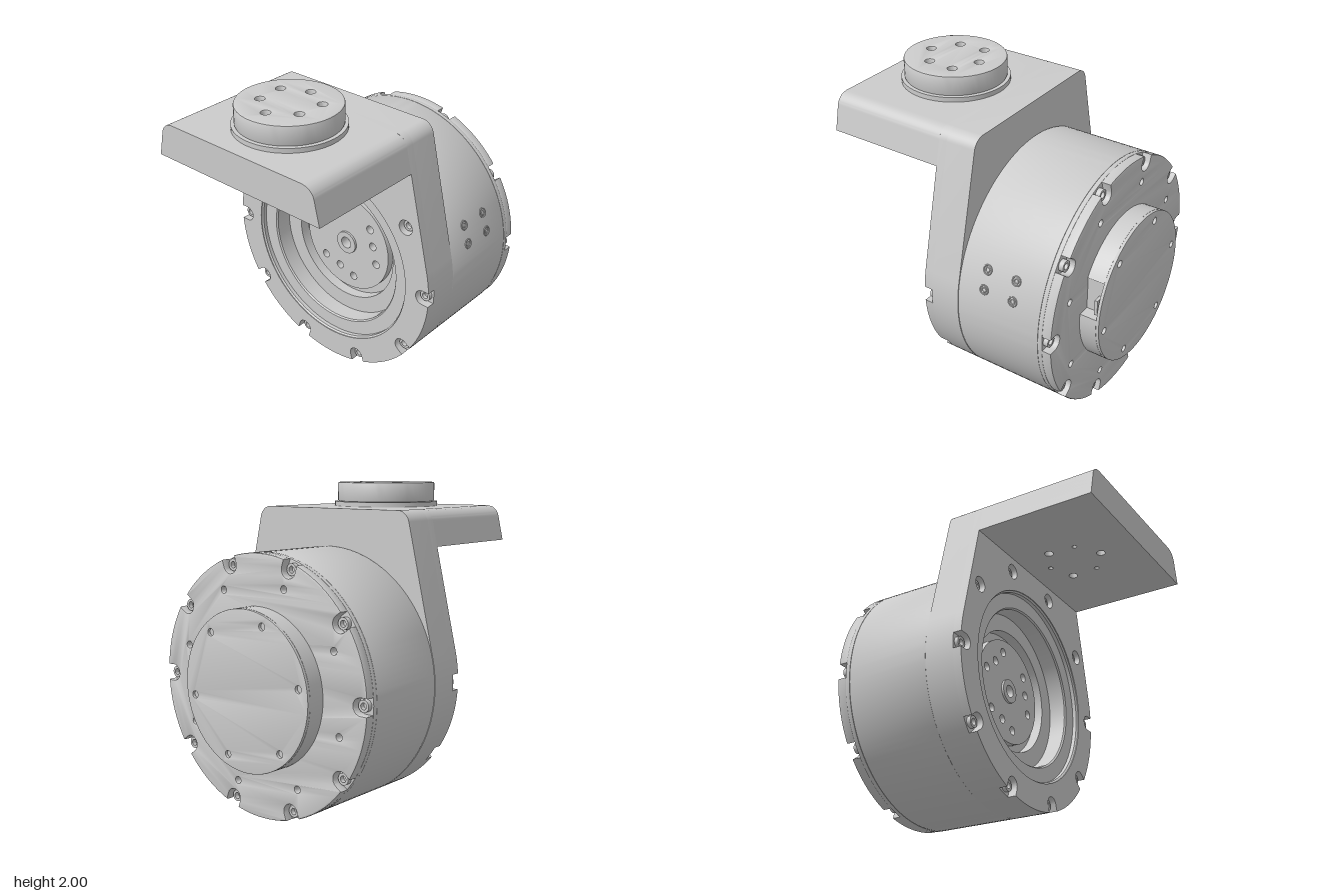
import * as THREE from 'three';
import { toCreasedNormals } from 'three/addons/utils/BufferGeometryUtils.js';

const R = 0.803;       // motor and plate radius
const AXIS_Y = 0.806;  // height of the motor axis
const SCREW_R = 0.755; // screw circle radius
const TOP = 1.845;     // top of the bracket
const rad = THREE.MathUtils.degToRad;
const polar = (r, deg) => new THREE.Vector2(r * Math.cos(rad(deg)), r * Math.sin(rad(deg)));
const material = new THREE.MeshStandardMaterial({ color: 0xcccccc });
const thinMaterial = new THREE.MeshStandardMaterial({ color: 0xcccccc, side: THREE.DoubleSide });

function add(parent, name, geometry, mat = material) {
  const mesh = new THREE.Mesh(toCreasedNormals(geometry, 0.45), mat);
  mesh.name = name;
  parent.add(mesh);
  return mesh;
}

function circle(x, y, r, n = 20) {
  const c = new THREE.Vector2(x, y);
  return Array.from({ length: n }, (_, i) => polar(r, (360 * i) / n).add(c));
}

// Shape from an outline with round holes given as [x, y, r]
function shapeOf(points, holes = []) {
  const shape = new THREE.Shape(points);
  for (const [x, y, r] of holes) shape.holes.push(new THREE.Path(circle(x, y, r, r > 0.2 ? 96 : 20)));
  return shape;
}

// Extrusion filling exactly z0..z1, optionally with bevelled edges
function slab(shape, z0, z1, bevel = 0, steps = 1) {
  const g = new THREE.ExtrudeGeometry(shape, {
    depth: z1 - z0 - 2 * bevel, steps, bevelEnabled: bevel > 0, bevelThickness: bevel,
    bevelSize: bevel, bevelOffset: -bevel, bevelSegments: 2,
  });
  return g.translate(0, 0, z0 + bevel);
}

// Arc outline with U-shaped screw pockets cut in from the rim
function notchedArc(from, to, notches) {
  const pts = [], half = 0.05, h = THREE.MathUtils.radToDeg(Math.asin(half / R));
  for (let a = from; a <= to + 0.01; a += 2) {
    if (!notches.some(n => Math.abs(a - n) <= h)) pts.push([a, polar(R, a)]);
  }
  for (const n of notches) {
    pts.push([n - h, polar(R, n - h)]);
    for (let k = 0; k <= 10; k++) {
      const p = polar(half, 270 - 18 * k).add(new THREE.Vector2(SCREW_R, 0));
      pts.push([n - h + (2 * h * (k + 1)) / 12, p.rotateAround(new THREE.Vector2(), rad(n))]);
    }
    pts.push([n + h, polar(R, n + h)]);
  }
  return pts.sort((a, b) => a[0] - b[0]).map(p => p[1]);
}

// Half width of the tapered bracket, with rounded top corners
const TANGENT = 13, CORNER = 0.065;
function halfWidth(y) {
  const t = polar(R, TANGENT);
  const line = t.x - (y - AXIS_Y - t.y) * Math.tan(rad(TANGENT));
  const d = Math.max(0, y - (TOP - CORNER));
  return line - (CORNER - Math.sqrt(Math.max(0, CORNER * CORNER - d * d)));
}

function plateOutline(notches) {
  const side = [];
  for (let i = 0; i <= 10; i++) {
    const y = TOP - CORNER + CORNER * Math.sin((i / 10) * Math.PI / 2);
    side.push(new THREE.Vector2(halfWidth(y), y - AXIS_Y));
  }
  const mirrored = side.map(p => new THREE.Vector2(-p.x, p.y)).reverse();
  return [...side, ...mirrored, ...notchedArc(180 - TANGENT, 360 + TANGENT, notches)];
}

function lathe(profile) {
  const pts = profile.map(([r, z]) => new THREE.Vector2(r, z));
  return new THREE.LatheGeometry(pts, 96).rotateX(Math.PI / 2);
}

export function createModel() {
  const model = new THREE.Group();
  const motor = new THREE.Group();
  motor.name = 'motor';
  motor.position.y = AXIS_Y;
  model.add(motor);

  // Mounting plate: solid rear layer, front layer with screw pockets
  const screwAngles = Array.from({ length: 10 }, (_, i) => i * 36);
  const upper = [36, 72, 108, 144], lower = [180, 216, 252, 288, 324, 360];
  const at = (angles, d, r) => angles.map(a => [...polar(d, a).toArray(), r]);
  add(motor, 'plateRear', slab(shapeOf(plateOutline([]), [[0, 0, 0.625]]), -0.12, 0.075));
  add(motor, 'plateFront', slab(
    shapeOf(plateOutline(lower), [[0, 0, 0.625], ...at(upper, SCREW_R, 0.05)]), 0.075, 0.13));

  // Screw heads in the front plate and rear cover
  for (const a of screwAngles) {
    const p = polar(SCREW_R, a);
    const head = shapeOf(circle(p.x, p.y, 0.036), [[p.x, p.y, 0.02]]);
    add(motor, 'frontScrew', slab(head, 0.07, 0.1));
    add(motor, 'rearScrew', slab(head, -0.75, -0.715));
  }

  // Stepped recess with the output flange
  add(motor, 'recess', lathe([
    [0.625, 0.125], [0.615, 0.115], [0.615, 0.09], [0.52, 0.09], [0.512, 0.08], [0.512, -0.03],
    [0.4, -0.03], [0.4, -0.1], [0.0001, -0.1],
  ]), thinMaterial);
  const flangeHoles = [
    [-0.06, 0.255], [-0.15, 0.16], [-0.25, 0.08], [0.19, 0.17], [0.215, 0.05],
    [0.245, -0.075], [0.055, -0.25], [-0.065, -0.21], [-0.19, -0.175],
  ].map(p => [...p, 0.028]);
  add(motor, 'outputFlange', slab(shapeOf(circle(0, 0, 0.345, 96), [...flangeHoles, [0, 0, 0.04]]), -0.1, -0.05));
  add(motor, 'hubRing', slab(shapeOf(circle(0, 0, 0.078, 40), [[0, 0, 0.04]]), -0.06, -0.035));

  // Housing
  add(motor, 'housing', slab(shapeOf(circle(0, 0, R, 120)), -0.69, -0.12, 0.008));
  for (const a of [14, 23]) {
    for (const z of [-0.3, -0.5]) {
      const p = polar(R, a);
      const port = new THREE.Group();
      port.name = 'sidePort';
      port.position.set(p.x, p.y, z);
      port.rotation.set(0, Math.PI / 2, 0);
      port.rotation.order = 'ZYX';
      port.rotation.z = rad(a);
      add(port, 'portRim', new THREE.TorusGeometry(0.028, 0.005, 8, 24));
      add(port, 'portScrew', new THREE.TorusGeometry(0.014, 0.004, 8, 20));
      motor.add(port);
    }
  }

  // Rear cover with screw pockets
  const pinHoles = at([0, 1, 2, 3, 4, 5, 6, 7].map(i => 18 + i * 45), 0.635, 0.02);
  const allNotches = screwAngles.map(a => a + 18 - 18);
  const rim = notchedArc(-18, 340, allNotches);
  add(motor, 'coverBase', slab(shapeOf(circle(0, 0, R, 120)), -0.72, -0.688, 0.006));
  add(motor, 'coverRim', slab(shapeOf(rim, pinHoles), -0.78, -0.715, 0.01));

  // Rear cap with connector opening on the left side
  const capBody = [];
  for (let a = 32; a <= 364; a += 4) capBody.push(polar(0.49, a));
  capBody.push(polar(0.49, 364.7), new THREE.Vector2(0.41, 0.04), new THREE.Vector2(0.41, 0.26));
  add(motor, 'capBody', slab(shapeOf(capBody), -0.89, -0.775));
  const capHoles = at([50, 110, 170, 230, 290, 350], 0.425, 0.022);
  add(motor, 'capLid', slab(shapeOf(circle(0, 0, 0.49, 96), capHoles), -0.91, -0.889, 0.004));
  const connector = add(motor, 'connector', new THREE.BoxGeometry(0.06, 0.1, 0.02));
  connector.position.set(0.435, 0.11, -0.87);

  // Shelf: drilled slab whose sides follow the bracket taper
  const bolts = [[0, 0.28], [-0.155, 0.54], [0.155, 0.54]];
  const pins = [[-0.165, 0.36], [0.165, 0.36], [0, 0.65]];
  const drill = r => [...bolts.map(([x, z]) => [x, -z, r]), ...pins.map(([x, z]) => [x, -z, 0.029])];
  const corners = [[-0.6, -0.91], [0.6, -0.91], [0.6, -0.13], [-0.6, -0.13]];
  const shelf = slab(shapeOf(corners.map(c => new THREE.Vector2(...c)), drill(0.016)), 1.62, TOP, 0, 30);
  shelf.rotateX(-Math.PI / 2);
  const pos = shelf.attributes.position;
  for (let i = 0; i < pos.count; i++) {
    const x = pos.getX(i);
    if (Math.abs(x) > 0.5) pos.setX(i, Math.sign(x) * halfWidth(pos.getY(i)));
  }
  add(model, 'shelf', shelf);

  // Round mounting pad on the shelf
  const pad = (r, holeR, y0, y1, bevel) =>
    slab(shapeOf(circle(0, -0.46, r, 64), drill(holeR)), y0, y1, bevel).rotateX(-Math.PI / 2);
  add(model, 'padFlange', pad(0.34, 0.016, TOP, 1.875, 0));
  add(model, 'mountingPad', pad(0.32, 0.029, 1.875, 2, 0.008));

  return model;
}
